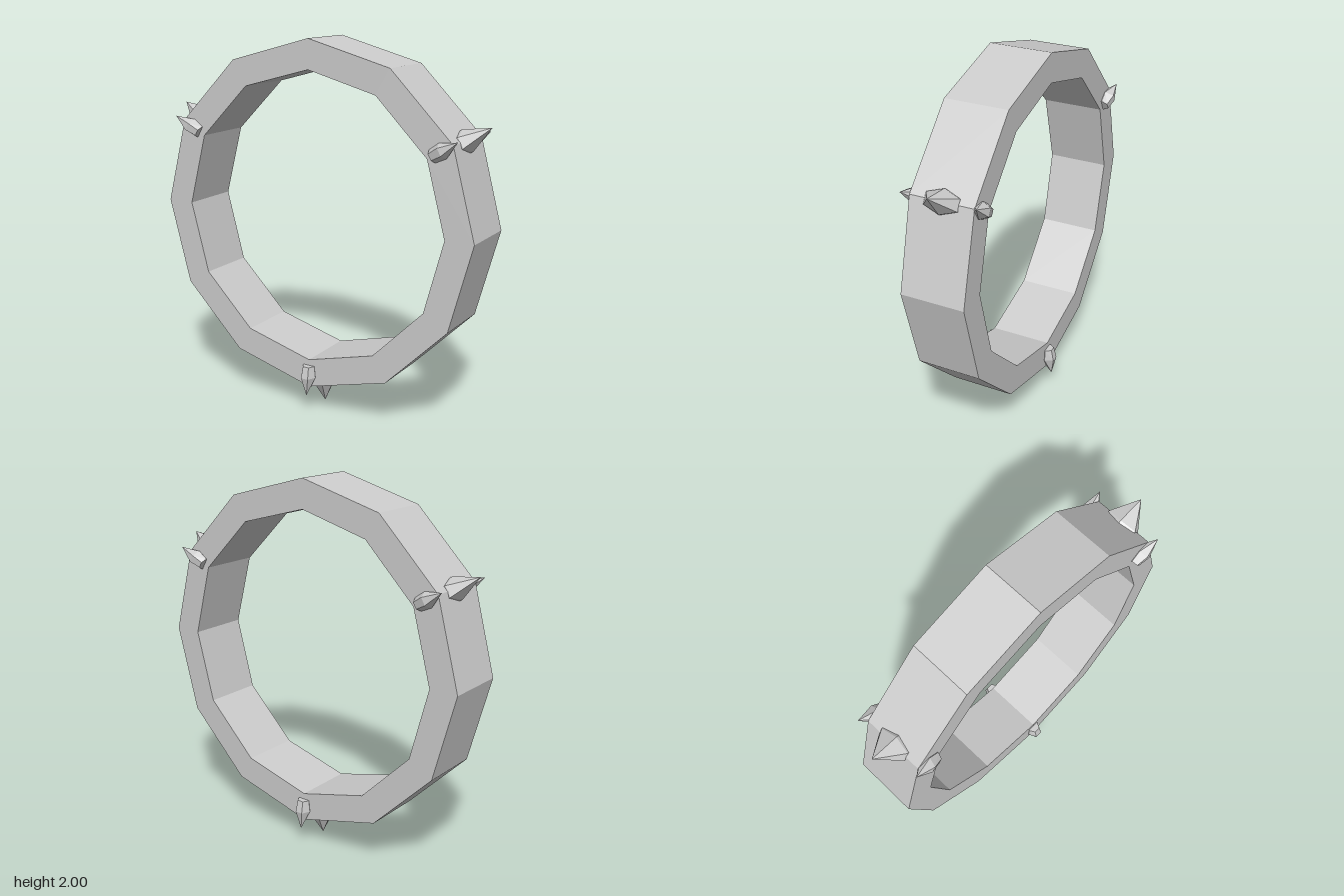
import * as THREE from 'three';

const CENTER_Y = 1.07, OUTER = 0.93, INNER = 0.775, HALF = 0.167;

// Polygon points with a corner at the top
function ringPoints(radius, sides = 12) {
  return Array.from({ length: sides }, (_, i) => {
    const a = Math.PI / 2 + (i / sides) * Math.PI * 2;
    return new THREE.Vector2(Math.cos(a) * radius, Math.sin(a) * radius);
  });
}

// Six-sided point along -y: sections are [y, z, radiusX, radiusZ], capped at both ends
function hexLoft(sections) {
  const pos = [], index = [], n = 6;
  for (const [y, z, rx, rz] of sections) {
    for (let i = 0; i < n; i++) {
      const a = (i / n) * Math.PI * 2;
      pos.push(Math.cos(a) * rx, y, z + Math.sin(a) * rz);
    }
  }
  for (let s = 0; s < sections.length - 1; s++) {
    for (let i = 0; i < n; i++) {
      const a = s * n + i, b = s * n + (i + 1) % n;
      index.push(a, b, a + n, b, b + n, a + n);
    }
  }
  for (let i = 1; i < n - 1; i++) index.push(0, i + 1, i);
  const g = new THREE.BufferGeometry();
  g.setAttribute('position', new THREE.Float32BufferAttribute(pos, 3));
  g.setIndex(index);
  const flat = g.toNonIndexed();
  flat.computeVertexNormals();
  return flat;
}

export function createModel() {
  const model = new THREE.Group();
  model.name = 'spikedRing';
  const steel = new THREE.MeshStandardMaterial({ color: 0xcccccc });
  steel.name = 'steel';
  steel.flatShading = true;

  // Twelve-sided band
  const shape = new THREE.Shape(ringPoints(OUTER));
  shape.holes.push(new THREE.Path(ringPoints(INNER)));
  const bandGeo = new THREE.ExtrudeGeometry(shape, { depth: HALF * 2, bevelEnabled: false });
  bandGeo.translate(0, 0, -HALF);
  const band = new THREE.Mesh(bandGeo, steel);
  band.name = 'band';
  band.position.y = CENTER_Y;
  model.add(band);

  // Outer spike, and a smaller claw on each side face
  const spikeGeo = hexLoft([
    [-0.88, 0, 0.06, 0.1], [-0.93, 0, 0.06, 0.1], [-1.07, 0, 0.0005, 0.0005],
  ]);
  const clawGeo = side => hexLoft([
    [-0.807, side * 0.17, 0.035, 0.035],
    [-0.87, side * 0.17, 0.042, 0.052],
    [-0.97, side * 0.195, 0.0005, 0.0005],
  ]);
  const parts = [['outerSpike', spikeGeo], ['frontClaw', clawGeo(1)], ['backClaw', clawGeo(-1)]];

  // Three clusters spaced evenly round the band
  for (let i = 0; i < 3; i++) {
    const cluster = new THREE.Group();
    cluster.name = 'spikeCluster' + (i + 1);
    cluster.position.y = CENTER_Y;
    cluster.rotation.z = (i / 3) * Math.PI * 2;
    for (const [name, geo] of parts) {
      const mesh = new THREE.Mesh(geo, steel);
      mesh.name = name;
      cluster.add(mesh);
    }
    model.add(cluster);
  }
  return model;
}
